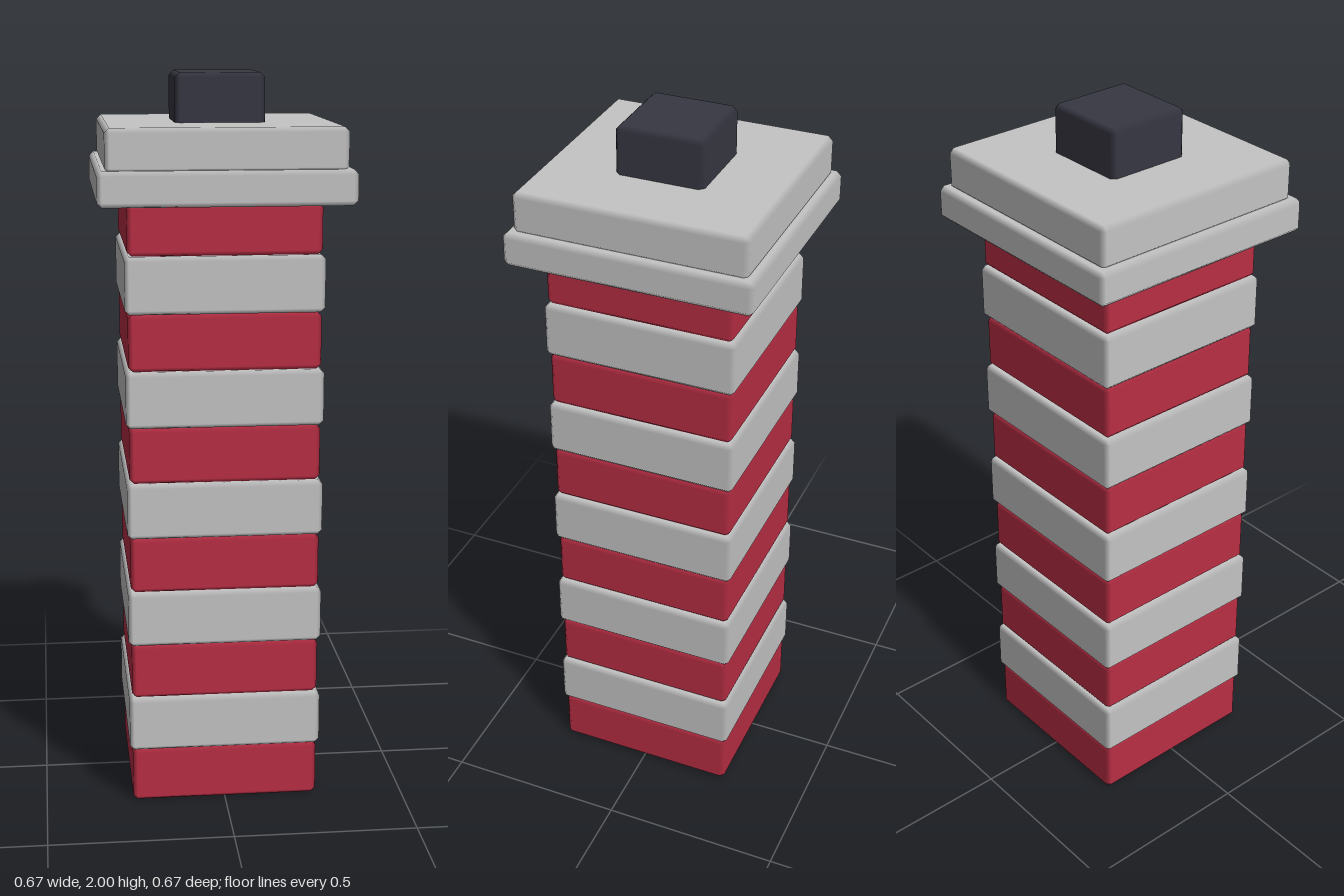
import * as THREE from 'three';
import { ConvexGeometry } from 'three/addons/geometries/ConvexGeometry.js';

const red = new THREE.MeshStandardMaterial({ color: 0xb82e44 });
red.name = 'red';
const grey = new THREE.MeshStandardMaterial({ color: 0xc4c4c4 });
grey.name = 'light grey';
const dark = new THREE.MeshStandardMaterial({ color: 0x373743 });
dark.name = 'dark slate';

// Box with chamfered edges; normals blend across the chamfer, faces stay flat
function bevelledBox(width, height, bevel) {
  const half = [width / 2, height / 2, width / 2];
  const points = [];
  for (let axis = 0; axis < 3; axis++) {
    for (const sx of [-1, 1]) for (const sy of [-1, 1]) for (const sz of [-1, 1]) {
      const signs = [sx, sy, sz];
      points.push(new THREE.Vector3(...half.map((h, i) => signs[i] * (i === axis ? h : h - bevel))));
    }
  }
  const geometry = new ConvexGeometry(points);
  const pos = geometry.attributes.position;
  const normal = geometry.attributes.normal;
  for (let i = 0; i < pos.count; i++) {
    const p = [pos.getX(i), pos.getY(i), pos.getZ(i)];
    normal.setXYZ(i, ...p.map((v, k) => (Math.abs(v) > half[k] - bevel / 2 ? Math.sign(v) : 0)));
  }
  return geometry;
}

export function createModel() {
  const group = new THREE.Group();
  group.name = 'stripedTower';

  const addSlab = (name, width, bottom, top, bevel, material) => {
    const mesh = new THREE.Mesh(bevelledBox(width, top - bottom, bevel), material);
    mesh.name = name;
    mesh.position.y = (bottom + top) / 2;
    group.add(mesh);
  };

  // Alternating bands of the shaft
  const pitch = 0.1535;
  for (let i = 0; i < 11; i++) {
    const isRed = i % 2 === 0;
    const top = i === 10 ? 1.67 : (i + 1) * pitch;
    addSlab(isRed ? 'redBand' : 'greyBand', isRed ? 0.516 : 0.532, i * pitch, top, 0.012, isRed ? red : grey);
  }

  // Stepped cap and top block
  addSlab('capLower', 0.674, 1.67, 1.763, 0.013, grey);
  addSlab('capUpper', 0.63, 1.755, 1.87, 0.013, grey);
  addSlab('topBlock', 0.24, 1.85, 2, 0.013, dark);

  return group;
}
